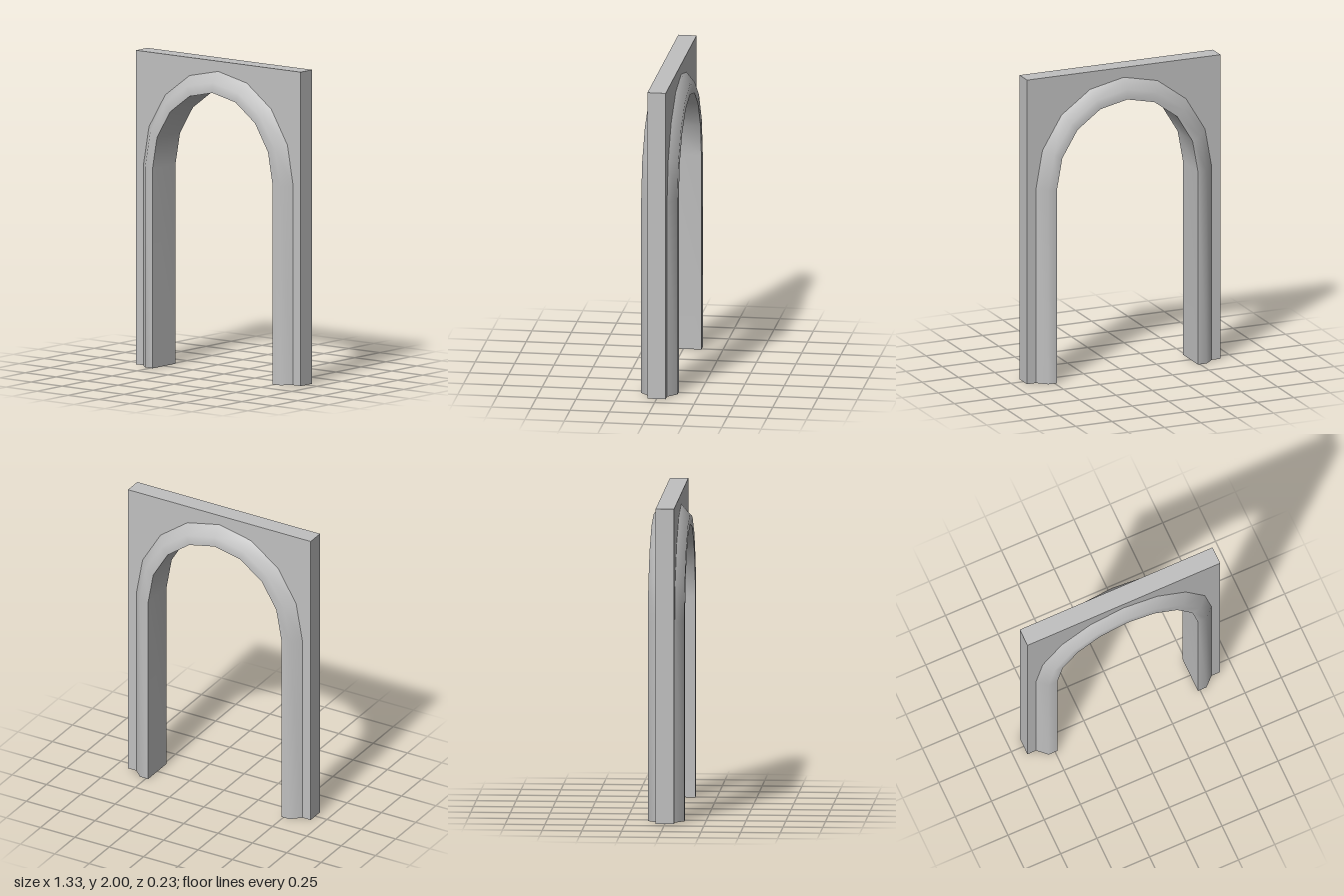
import * as THREE from 'three';

const SPRING = 1.27;               // height where the arch begins
const HALF_W = 0.665, TOP = 2;     // panel outline
const PANEL_Z = 0.058, TRIM_Z = 0.115;
const OUTER = [0.605, 0.665], MID = [0.545, 0.6], INNER = [0.485, 0.535];

// Leg, eight-sided half ellipse, leg: from -x round to +x
function archPath([rx, ry]) {
  const points = [[-rx, 0]];
  for (let i = 0; i <= 8; i++) {
    const a = Math.PI * (1 - i / 8);
    points.push([rx * Math.cos(a), SPRING + ry * Math.sin(a)]);
  }
  points.push([rx, 0]);
  return points;
}

// Joins matching paths, each at its own depth, into one surface
function strip(columns, smooth = true) {
  const positions = [], index = [];
  const rows = columns[0].path.length, n = columns.length;
  for (let i = 0; i < rows; i++) {
    for (const { path, z } of columns) positions.push(path[i][0], path[i][1], z);
  }
  for (let i = 0; i < rows - 1; i++) {
    for (let j = 0; j < n - 1; j++) {
      const a = i * n + j, b = a + n;
      index.push(a, a + 1, b, b, a + 1, b + 1);
    }
  }
  let geometry = new THREE.BufferGeometry();
  geometry.setAttribute('position', new THREE.Float32BufferAttribute(positions, 3));
  geometry.setIndex(index);
  if (!smooth) geometry = geometry.toNonIndexed();
  geometry.computeVertexNormals();
  return geometry;
}

const flatShape = (points) =>
  new THREE.ShapeGeometry(new THREE.Shape(points.map(([x, y]) => new THREE.Vector2(x, y))));

export function createModel() {
  const group = new THREE.Group();
  const stone = new THREE.MeshStandardMaterial({ color: 0xc0c0c0 });
  stone.name = 'grey stone';
  stone.side = THREE.DoubleSide;

  const add = (name, geometry) => {
    const mesh = new THREE.Mesh(geometry, stone);
    mesh.name = name;
    group.add(mesh);
  };

  const outer = archPath(OUTER), mid = archPath(MID), inner = archPath(INNER);
  const rect = [[-HALF_W, 0], [-HALF_W, TOP], [HALF_W, TOP], [HALF_W, 0]];

  // Flat wall panel around the arch
  const face = [...rect, ...[...outer].reverse()];
  add('panelFront', flatShape(face).translate(0, 0, PANEL_Z));
  add('panelBack', flatShape(face).rotateY(Math.PI).translate(0, 0, -PANEL_Z));
  add('panelEdge', strip([{ path: rect, z: -PANEL_Z }, { path: rect, z: PANEL_Z }], false));

  // Raised bevelled moulding on both faces
  add('mouldingFront', strip([
    { path: outer, z: PANEL_Z }, { path: mid, z: TRIM_Z }, { path: inner, z: TRIM_Z },
  ]));
  add('mouldingBack', strip([
    { path: inner, z: -TRIM_Z }, { path: mid, z: -TRIM_Z }, { path: outer, z: -PANEL_Z },
  ]));

  // Inside face of the opening
  add('soffit', strip([{ path: inner, z: TRIM_Z }, { path: inner, z: -TRIM_Z }]));

  // Undersides of the two legs
  const half = [[HALF_W, PANEL_Z], [OUTER[0], PANEL_Z], [MID[0], TRIM_Z], [INNER[0], TRIM_Z]];
  const section = [...half, ...half.map(([x, z]) => [x, -z]).reverse()];
  for (const side of [-1, 1]) {
    add(side > 0 ? 'leftFoot' : 'rightFoot',
      flatShape(section.map(([x, z]) => [x * side, z])).rotateX(Math.PI / 2));
  }
  return group;
}
